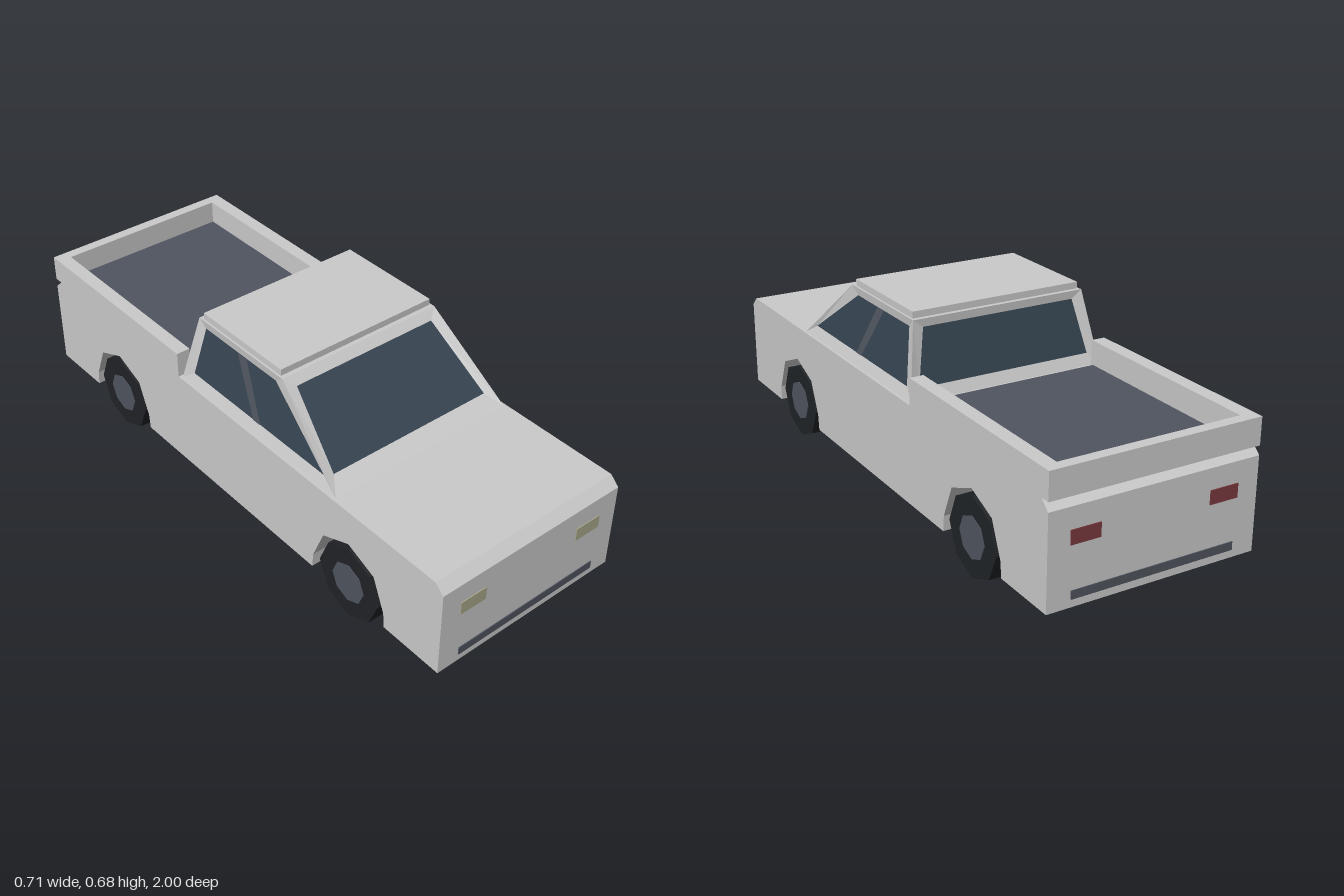
import * as THREE from 'three';

const mat = (color) => new THREE.MeshStandardMaterial({ color, flatShading: true });

export function createModel() {
  const truck = new THREE.Group();
  truck.name = 'pickupTruck';
  const paint = mat(0xcccccc), trim = mat(0x50555f), glass = mat(0x364451);
  const rubber = mat(0x202326), lamp = mat(0xa9a98d), tailLamp = mat(0x7c3a3e);

  const add = (name, geometry, material) => {
    const mesh = new THREE.Mesh(geometry, material);
    mesh.name = name;
    truck.add(mesh);
    return mesh;
  };
  // box given by its minimum and maximum corners
  const box = (name, material, [x0, y0, z0], [x1, y1, z1]) =>
    add(name, new THREE.BoxGeometry(x1 - x0, y1 - y0, z1 - z0)
      .translate((x0 + x1) / 2, (y0 + y1) / 2, (z0 + z1) / 2), material);
  // flat quads, corners counter-clockwise from outside
  const quads = (list) => {
    const points = list.flatMap(([a, b, c, d]) => [a, b, c, a, c, d]);
    const g = new THREE.BufferGeometry();
    g.setAttribute('position', new THREE.Float32BufferAttribute(points.flat(), 3));
    g.computeVertexNormals();
    return g;
  };

  // Lower body: side profile with octagonal wheel arches, extruded across
  const AXLE = 0.605, WHEEL_Y = 0.133, END = 0.997;
  const profile = new THREE.Shape();
  profile.moveTo(-END, 0.08);
  for (const z of [-AXLE, AXLE]) {
    profile.lineTo(z - 0.165, 0.08);
    for (let i = 0; i <= 4; i++) {
      const a = Math.PI - (i * Math.PI) / 4;
      profile.lineTo(z + 0.16 * Math.cos(a), WHEEL_Y + 0.158 * Math.sin(a));
    }
    profile.lineTo(z + 0.165, 0.08);
  }
  profile.lineTo(END, 0.08);
  profile.lineTo(END, 0.383);
  profile.lineTo(0.965, 0.413);
  profile.lineTo(-0.965, 0.413);
  profile.lineTo(-END, 0.383);
  profile.closePath();
  const W = 0.355;
  add('body', new THREE.ExtrudeGeometry(profile, { depth: 2 * W, bevelEnabled: false })
    .translate(0, 0, -W).rotateY(-Math.PI / 2), paint);

  // Cargo bed: two side walls, tailgate and dark floor
  box('bedWallLeft', paint, [0.307, 0.413, -END], [W, 0.502, -0.24]);
  box('bedWallRight', paint, [-W, 0.413, -END], [-0.307, 0.502, -0.24]);
  box('tailgate', paint, [-0.307, 0.413, -END], [0.307, 0.502, -0.96]);
  box('bedFloor', trim, [-0.307, 0.413, -0.96], [0.307, 0.42, -0.25]);

  // Cabin: each side is a frame sloping in to a slightly recessed window
  const mirror = (q) => [q[1], q[0], q[3], q[2]].map(([x, y, z]) => [-x, y, z]);
  const leftFrame = [[0.345, 0.413, 0.535], [0.345, 0.413, -0.23],
    [0.305, 0.655, -0.175], [0.305, 0.655, 0.24]];
  const leftGlass = [[0.332, 0.45, 0.47], [0.332, 0.45, -0.18],
    [0.302, 0.628, -0.145], [0.302, 0.628, 0.205]];
  const [fb, bb, bt, ft] = leftFrame;
  const flip = ([x, y, z]) => [-x, y, z];
  const sides = [
    ['windscreen', [flip(fb), fb, ft, flip(ft)],
      [[-0.307, 0.45, 0.48], [0.307, 0.45, 0.48], [0.27, 0.628, 0.265], [-0.27, 0.628, 0.265]]],
    ['rearWindow', [bb, flip(bb), flip(bt), bt],
      [[0.307, 0.45, -0.213], [-0.307, 0.45, -0.213], [-0.27, 0.628, -0.173], [0.27, 0.628, -0.173]]],
    ['sideWindowLeft', leftFrame, leftGlass],
    ['sideWindowRight', mirror(leftFrame), mirror(leftGlass)],
  ];
  const frames = [[ft, bt, flip(bt), flip(ft)]];
  for (const [name, outer, inner] of sides) {
    for (let i = 0; i < 4; i++) {
      const j = (i + 1) % 4;
      frames.push([outer[i], outer[j], inner[j], inner[i]]);
    }
    add(name, quads([inner]), glass);
  }
  add('cabinFrame', quads(frames), paint);
  box('roof', paint, [-0.298, 0.655, -0.16], [0.298, 0.677, 0.225]);

  // Slanted divider on each side window
  const divider = [[0.334, 0.45, 0.165], [0.334, 0.45, 0.13],
    [0.304, 0.628, 0.02], [0.304, 0.628, 0.065]];
  add('windowDividerLeft', quads([divider]), trim);
  add('windowDividerRight', quads([mirror(divider)]), trim);

  // Lamps and bumper strips at both ends
  for (const [end, s, lampMat] of [['front', 1, lamp], ['rear', -1, tailLamp]]) {
    const z0 = s > 0 ? 0.99 : -1, z1 = z0 + 0.01;
    box(end + 'BumperStrip', trim, [-0.277, 0.105, z0], [0.277, 0.132, z1]);
    box(end + 'LampLeft', lampMat, [0.185, 0.27, z0], [0.283, 0.315, z1]);
    box(end + 'LampRight', lampMat, [-0.283, 0.27, z0], [-0.185, 0.315, z1]);
  }

  // Wheels: octagonal tyre with a hub on the outer face
  for (const [end, z] of [['front', AXLE], ['rear', -AXLE]]) {
    for (const [side, s] of [['Left', 1], ['Right', -1]]) {
      const cyl = (r, w) => new THREE.CylinderGeometry(r, r, w, 8).rotateZ(Math.PI / 2);
      add(end + 'Tyre' + side, cyl(0.133, 0.063), rubber).position.set(s * 0.32, WHEEL_Y, z);
      add(end + 'Hub' + side, cyl(0.07, 0.02), trim).position.set(s * 0.344, WHEEL_Y, z);
    }
  }
  return truck;
}
